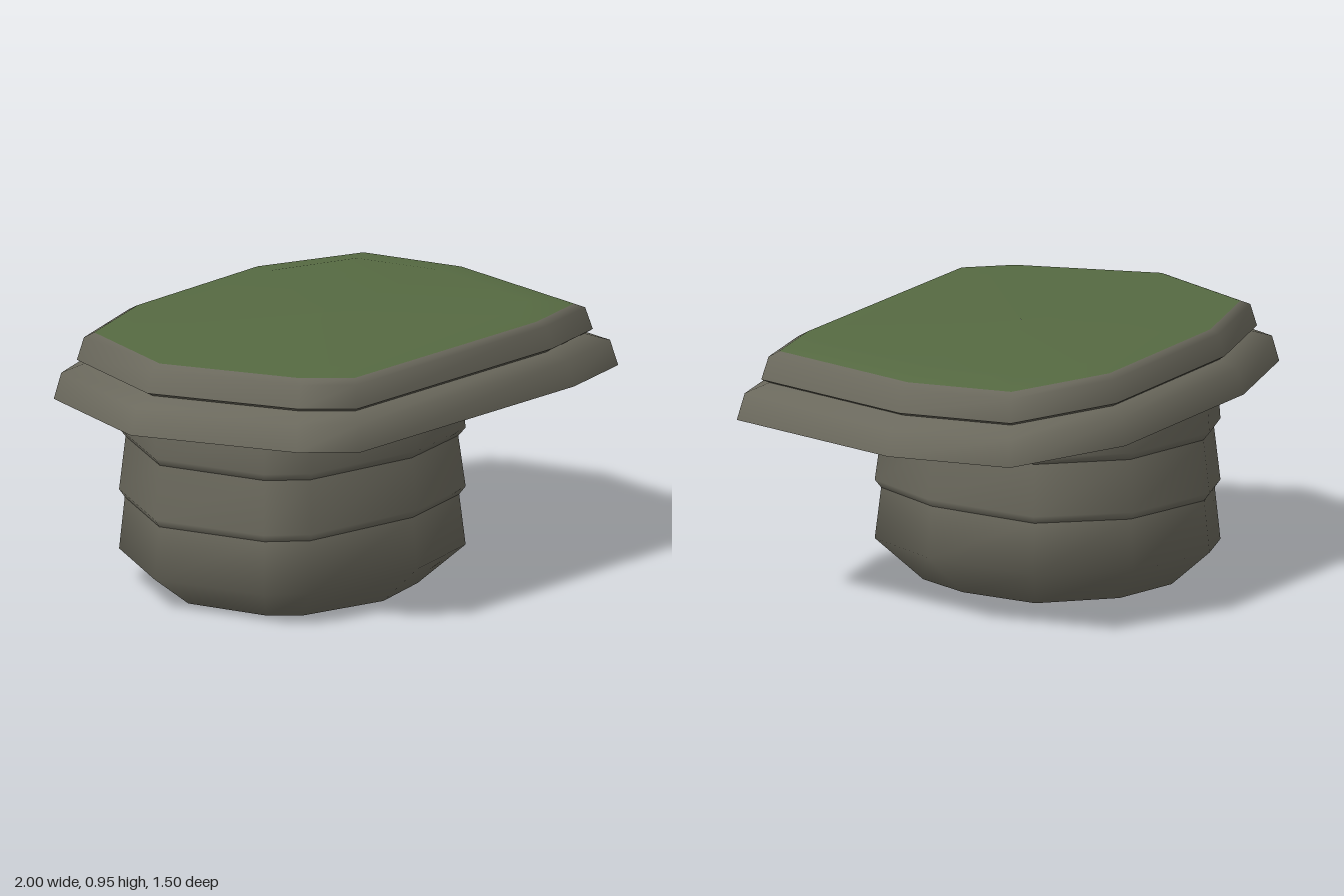
import * as THREE from 'three';

// Outlines as [x, z] corners, counter-clockwise seen from above
const SLAB = [[-1, 0.02], [-0.76, 0.59], [-0.6, 0.745], [0.58, 0.66], [0.9, 0.57],
  [1, -0.16], [0.88, -0.6], [0.41, -0.755], [-0.39, -0.68], [-0.83, -0.51]];
const STEM = [[0.25, 0.45], [0.375, 0.13], [0.354, -0.315], [0.07, -0.54], [-0.345, -0.565],
  [-0.545, -0.465], [-0.74, -0.11], [-0.635, 0.315], [-0.52, 0.435], [-0.07, 0.52]];
const FOOT = [[0.155, 0.31], [0.22, 0.09], [0.195, -0.206], [-0.04, -0.4], [-0.305, -0.43],
  [-0.436, -0.36], [-0.592, -0.088], [-0.52, 0.22], [-0.437, 0.31], [-0.1, 0.385]];

// Smooth-shaded band lofted through rings [scale, y, tilt along x, own outline], around a centre
function band(outline, rings, cx = 0, cz = 0) {
  const n = outline.length, pos = [], index = [];
  for (const [s, y, tilt = 0, shape = outline] of rings) {
    for (const [px, pz] of shape) {
      const x = cx + (px - cx) * s;
      pos.push(x, y + tilt * x, cz + (pz - cz) * s);
    }
  }
  for (let r = 0; r < rings.length - 1; r++) {
    for (let i = 0; i < n; i++) {
      const j = (i + 1) % n, a = r * n + i, b = r * n + j;
      index.push(a, b, b + n, a, b + n, a + n);
    }
  }
  const g = new THREE.BufferGeometry();
  g.setAttribute('position', new THREE.Float32BufferAttribute(pos, 3));
  g.setIndex(index);
  g.computeVertexNormals();
  return g;
}

export function createModel() {
  const model = new THREE.Group();
  const stone = new THREE.MeshStandardMaterial({ color: 0x6b695d });
  stone.name = 'stone';
  const grass = new THREE.MeshStandardMaterial({ color: 0x566a42 });
  grass.name = 'grass';

  const add = (name, material, ...args) => {
    const mesh = new THREE.Mesh(band(...args), material);
    mesh.name = name;
    model.add(mesh);
  };

  // Stem: bevelled foot and three courses, each narrowing to a small overhang
  const cx = -0.19, cz = -0.02;
  add('stemBase', stone, FOOT, [[0.001, 0], [1, 0]], cx, cz);
  add('stemLowerCourse', stone, STEM,
    [[1, 0, 0, FOOT], [1, 0.138, 0.035], [0.965, 0.322, 0.03]], cx, cz);
  add('stemMiddleCourse', stone, STEM,
    [[0.965, 0.322, 0.03], [1, 0.35, 0.03], [0.96, 0.537, 0.02]], cx, cz);
  add('stemUpperCourse', stone, STEM,
    [[0.96, 0.537, 0.02], [1, 0.565, 0.02], [0.985, 0.67]], cx, cz);

  // Lower slab: shallow underside, leaning rim and a sloping ledge
  const lean = -0.012;
  add('lowerSlabUnderside', stone, SLAB, [[0.001, 0.645], [0.66, 0.645], [1, 0.7, lean]]);
  add('lowerSlabRim', stone, SLAB, [[1, 0.7, lean], [0.972, 0.793, lean], [0.885, 0.822, lean]]);

  // Upper slab: undercut, rim and rounded shoulder
  add('upperSlabUnderside', stone, SLAB, [[0.885, 0.822, lean], [0.914, 0.836, lean]]);
  add('upperSlabRim', stone, SLAB,
    [[0.914, 0.836, lean], [0.888, 0.916, lean], [0.85, 0.932, lean]]);

  // Grass surface, very gently domed
  add('grassTop', grass, SLAB, [[0.85, 0.932, lean], [0.7, 0.946], [0.001, 0.953]]);

  return model;
}
